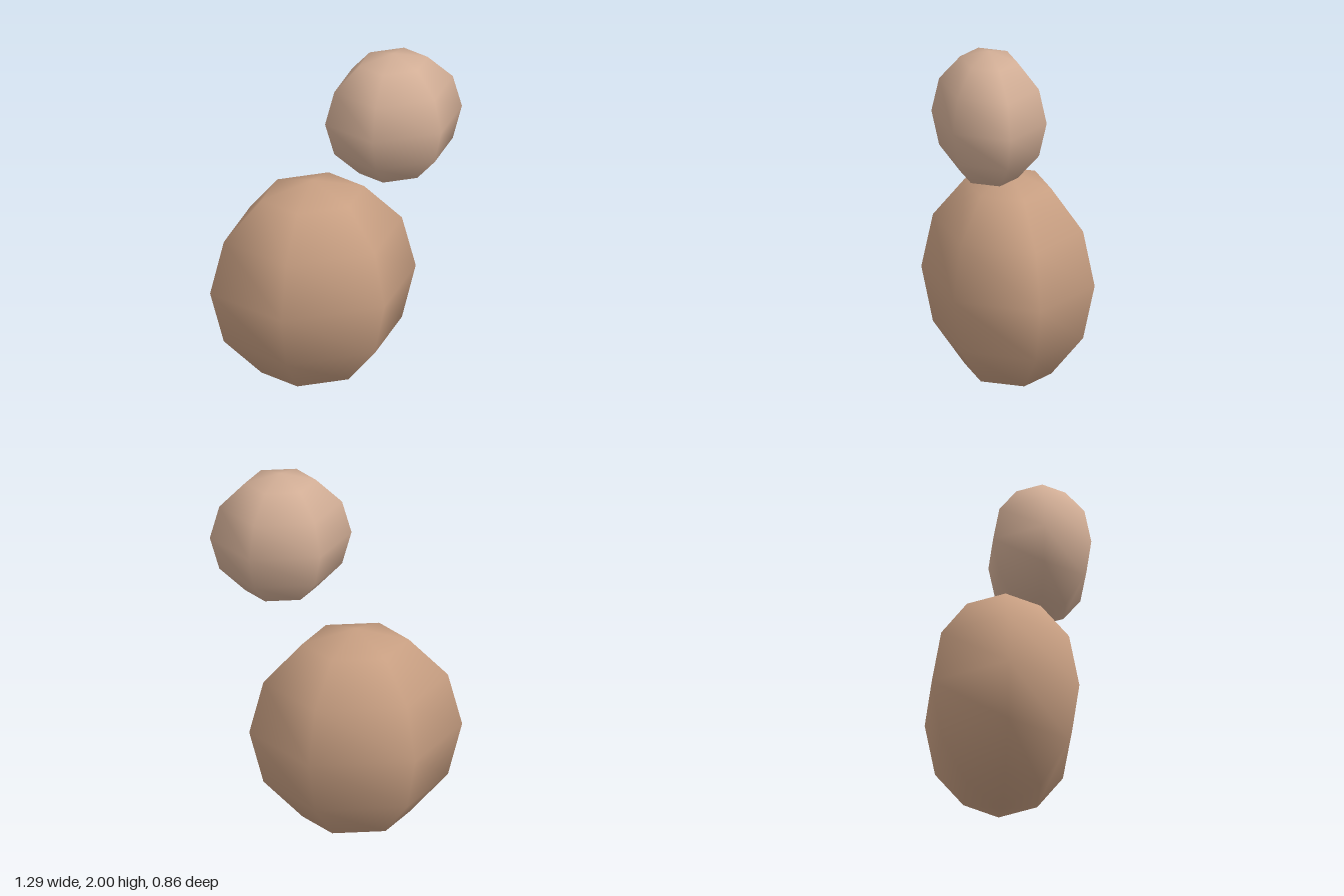
import * as THREE from 'three';

// Coarse six-sided ellipsoid with smooth normals
function ellipsoid(name, color, center, radii) {
  const mesh = new THREE.Mesh(
    new THREE.SphereGeometry(1, 6, 6),
    new THREE.MeshStandardMaterial({ color })
  );
  mesh.name = name;
  mesh.position.set(...center);
  mesh.scale.set(...radii);
  return mesh;
}

export function createModel() {
  const model = new THREE.Group();
  model.name = 'figure';
  // Large lower body, and a smaller head floating up and to the front left
  model.add(
    ellipsoid('body', 0xc89f82, [-0.095, 0.595, -0.048], [0.553, 0.59, 0.442]),
    ellipsoid('head', 0xd2ae96, [0.276, 1.633, 0.173], [0.368, 0.367, 0.294])
  );
  return model;
}
